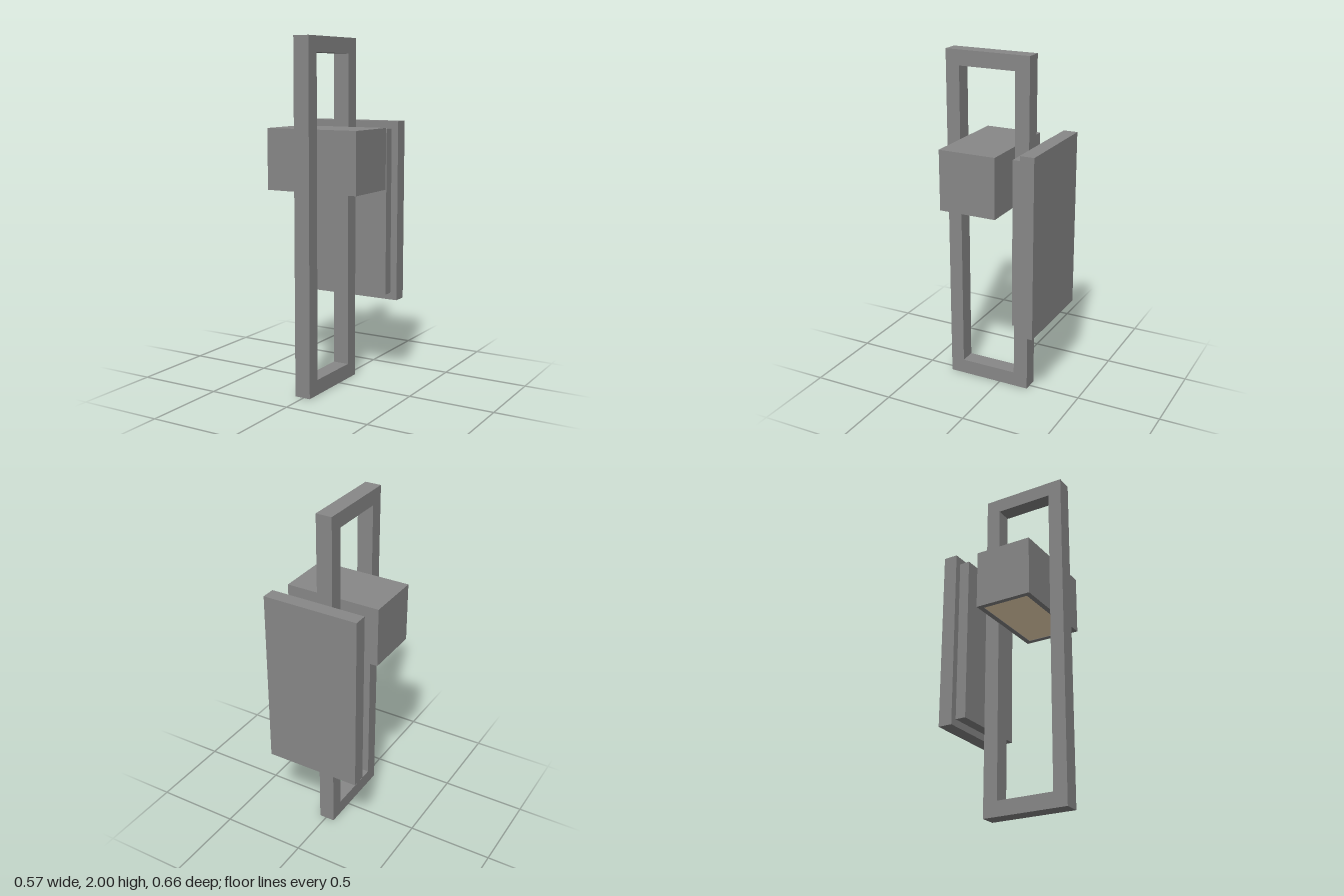
import * as THREE from 'three';

const grey = new THREE.MeshStandardMaterial({ color: 0x888888 });
const warm = new THREE.MeshStandardMaterial({ color: 0xffe6c0 });

// Box given by its limits on each axis
function block(name, [x0, x1], [y0, y1], [z0, z1], material = grey) {
  const mesh = new THREE.Mesh(new THREE.BoxGeometry(x1 - x0, y1 - y0, z1 - z0), material);
  mesh.name = name;
  mesh.position.set((x0 + x1) / 2, (y0 + y1) / 2, (z0 + z1) / 2);
  return mesh;
}

// Rectangle with a rectangular hole, extruded along z
function ring([u0, u1], [v0, v1], [a0, a1], [b0, b1], depth) {
  const corners = (l, r, b, t) => [[l, b], [r, b], [r, t], [l, t]].map(([u, v]) => new THREE.Vector2(u, v));
  const shape = new THREE.Shape(corners(u0, u1, v0, v1));
  shape.holes.push(new THREE.Path(corners(a0, a1, b0, b1)));
  return new THREE.ExtrudeGeometry(shape, { depth, bevelEnabled: false });
}

export function createModel() {
  const model = new THREE.Group();
  model.name = 'wallLamp';

  // Tall rectangular frame, standing in the y-z plane (shape u = -z)
  const frameGeometry = ring([-0.329, 0.184], [0, 2], [-0.246, 0.097], [0.088, 1.912], 0.095);
  frameGeometry.rotateY(Math.PI / 2);
  const frame = new THREE.Mesh(frameGeometry, grey);
  frame.name = 'frame';
  frame.position.x = -0.053;
  model.add(frame);

  // Lamp shade: solid upper body, lower rim and a warm diffuser set inside it
  const shade = new THREE.Group();
  shade.name = 'shade';
  const x = [-0.286, 0.285], z = [-0.098, 0.243], wall = 0.03;
  shade.add(block('shadeBody', x, [1.168, 1.497], z));
  const inset = ([a, b]) => [a + wall, b - wall];
  const rimGeometry = ring(x, z, inset(x), inset(z), 0.02);
  rimGeometry.rotateX(Math.PI / 2); // shape v becomes z, depth runs down
  const rim = new THREE.Mesh(rimGeometry, grey);
  rim.name = 'shadeRim';
  rim.position.y = 1.168;
  shade.add(rim);
  shade.add(block('diffuser', inset(x), [1.15, 1.168], inset(z), warm));
  model.add(shade);

  // Stepped wall mount
  model.add(block('mountSpacer', [-0.246, 0.245], [0.517, 1.487], [-0.246, -0.184]));
  model.add(block('wallPlate', [-0.286, 0.286], [0.476, 1.528], [-0.329, -0.246]));

  return model;
}
